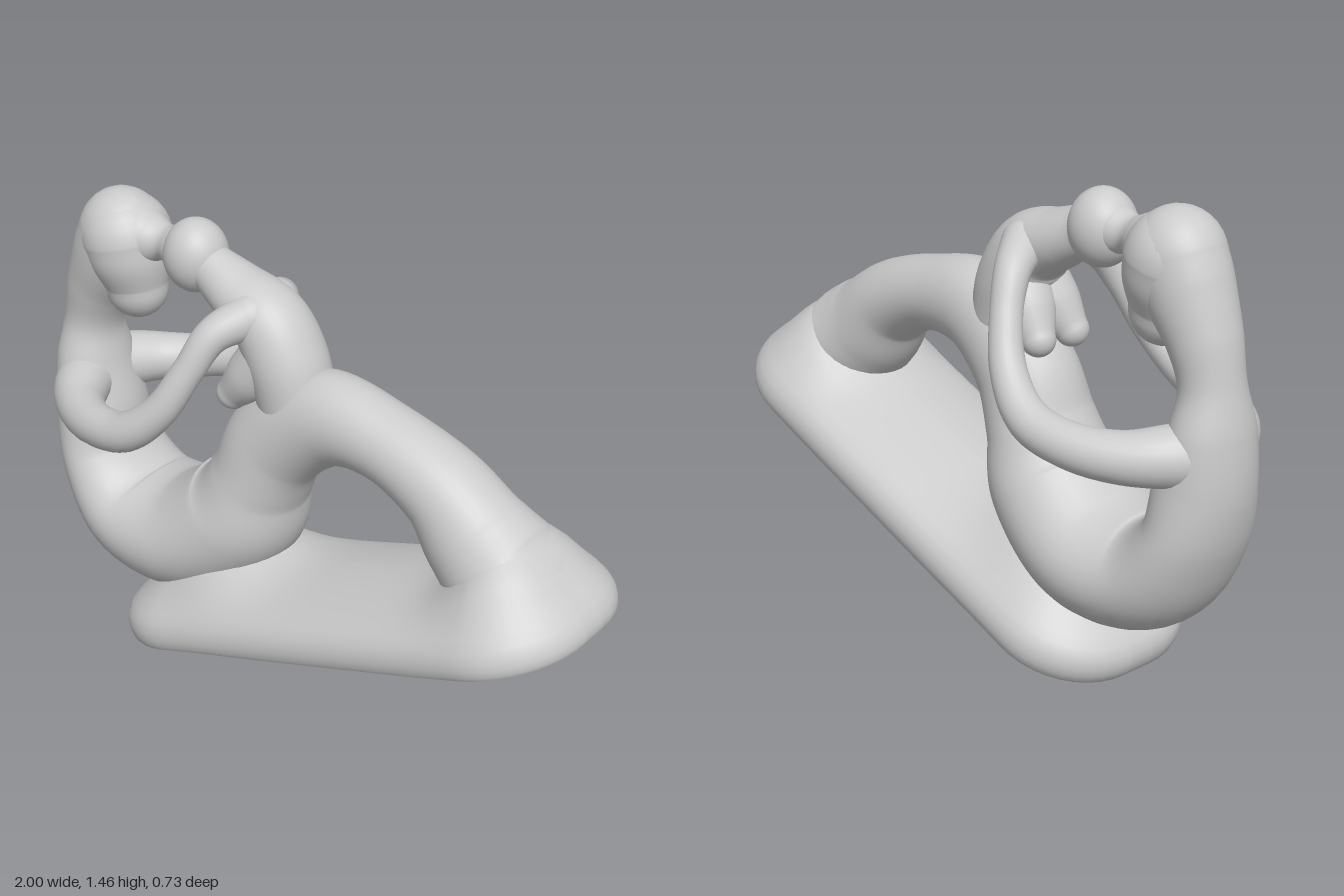
import * as THREE from 'three';

const material = new THREE.MeshStandardMaterial({ color: 0xcccccc });

// Skin a list of closed rings (all with the same number of points)
function skin(rings) {
  const n = rings[0].length, pos = [], idx = [];
  rings.forEach(r => r.forEach(p => pos.push(p.x, p.y, p.z)));
  for (let i = 0; i < rings.length - 1; i++) {
    for (let j = 0; j < n; j++) {
      const a = i * n + j, b = i * n + (j + 1) % n;
      idx.push(a, b, a + n, b, b + n, a + n);
    }
  }
  const g = new THREE.BufferGeometry();
  g.setAttribute('position', new THREE.Float32BufferAttribute(pos, 3));
  g.setIndex(idx);
  g.computeVertexNormals();
  return g;
}

// Limb with round ends; stations are [x, y, z, radius in plane, radius across]
function limb(name, stations, across = new THREE.Vector3(0, 0, 1), steps = 10, sides = 36) {
  const path = new THREE.CatmullRomCurve3(stations.map(s => new THREE.Vector3(s[0], s[1], s[2])));
  const size = new THREE.CatmullRomCurve3(
    stations.map(s => new THREE.Vector3(s[3], s[4] ?? s[3], 0)), false, 'catmullrom', 0.5);
  const rings = [];
  const ring = (u, shift, scale) => {
    const c = path.getPoint(u), t = path.getTangent(u), r = size.getPoint(u);
    const n = new THREE.Vector3().crossVectors(across, t).normalize();
    const b = new THREE.Vector3().crossVectors(t, n);
    c.addScaledVector(t, shift * r.x);
    const out = [];
    for (let j = 0; j < sides; j++) {
      const a = j / sides * Math.PI * 2;
      out.push(c.clone()
        .addScaledVector(n, Math.cos(a) * r.x * scale)
        .addScaledVector(b, Math.sin(a) * r.y * scale));
    }
    rings.push(out);
  };
  const caps = 8, total = (stations.length - 1) * steps;
  for (let k = caps; k > 0; k--) {
    const a = k / caps * Math.PI / 2;
    ring(0, -Math.sin(a), Math.max(Math.cos(a), 0.01));
  }
  for (let i = 0; i <= total; i++) ring(i / total, 0, 1);
  for (let k = 1; k <= caps; k++) {
    const a = k / caps * Math.PI / 2;
    ring(1, Math.sin(a), Math.max(Math.cos(a), 0.01));
  }
  const mesh = new THREE.Mesh(skin(rings), material);
  mesh.name = name;
  return mesh;
}

// Rounded rectangle ring at height y, shrunk by inset, with subdivided straights
function plateRing(inset, y) {
  const hx = 0.865 - inset, hz = 0.32 - inset;
  const r = Math.min(hz, Math.max(0.27 - inset, 0.02));
  const point = (q, k) => {
    const sx = q === 0 || q === 3 ? 1 : -1, sz = q < 2 ? -1 : 1;
    const a = (q + k / 10) * Math.PI / 2;
    return new THREE.Vector3(
      sx * (hx - r) + r * Math.cos(a), y, sz * (hz - r) - r * Math.sin(a));
  };
  const out = [];
  for (let q = 0; q < 4; q++) {
    for (let k = 0; k <= 10; k++) out.push(point(q, k));
    const from = point(q, 10), to = point((q + 1) % 4, 0), cuts = q % 2 ? 8 : 28;
    for (let k = 1; k < cuts; k++) out.push(from.clone().lerp(to, k / cuts));
  }
  return out;
}

// Swelling of the base top where thigh and lower leg flow into it
function swell(x, z) {
  const mound = (cx, sx, sz, h) => h * Math.exp(-(((x - cx) / sx) ** 2) - (z / sz) ** 2);
  return mound(-0.46, 0.19, 0.21, 0.16) + mound(0.66, 0.17, 0.25, 0.17);
}

export function createModel() {
  const group = new THREE.Group();

  // Tilted base: flat underside, rounded rim, domed top
  const rings = [[0.012, 0], [0.003, 0.015], [0, 0.035], [0, 0.06], [0.01, 0.088],
    [0.03, 0.112], [0.06, 0.13], [0.1, 0.146], [0.14, 0.16], [0.18, 0.171], [0.22, 0.18],
    [0.26, 0.186], [0.29, 0.189], [0.32, 0.19]].map(([inset, y]) => {
    const weight = THREE.MathUtils.smoothstep(inset, -0.02, 0.13);
    const ring = plateRing(inset, y);
    ring.forEach(p => { p.y += weight * swell(p.x, p.z); });
    return ring;
  });
  const base = new THREE.Group();
  base.name = 'base';
  const plate = new THREE.Mesh(skin(rings), material);
  plate.name = 'basePlate';
  const sole = new THREE.Mesh(new THREE.ShapeGeometry(
    new THREE.Shape(rings[0].map(p => new THREE.Vector2(p.x, p.z)))), material);
  sole.name = 'baseUnderside';
  sole.geometry.rotateX(Math.PI / 2);
  base.add(plate, sole);
  base.rotation.z = Math.atan2(0.57, 1.63);
  base.position.set(0.19, 0.284, 0);
  group.add(base);

  // Large figure: nape, back, hips, thigh, knee arch and lower leg in one flow
  group.add(limb('motherBody', [
    [-0.738, 1.325, 0, 0.136, 0.13], [-0.782, 1.235, 0, 0.13, 0.125], [-0.845, 1.11, 0, 0.104, 0.108],
    [-0.878, 0.99, 0, 0.09, 0.1],
    [-0.885, 0.87, 0, 0.107, 0.135], [-0.868, 0.7, 0, 0.13, 0.16], [-0.835, 0.53, 0, 0.128, 0.19],
    [-0.7, 0.37, 0, 0.165, 0.225], [-0.48, 0.36, 0, 0.185, 0.245], [-0.27, 0.51, 0, 0.19, 0.215],
    [-0.2, 0.66, 0, 0.155, 0.175], [-0.13, 0.81, 0, 0.158, 0.15], [0.05, 0.945, 0, 0.15, 0.13],
    [0.27, 0.94, 0, 0.118, 0.122], [0.48, 0.855, 0, 0.132, 0.138], [0.595, 0.745, 0, 0.165, 0.16],
    [0.7, 0.67, 0, 0.17, 0.19], [0.82, 0.63, 0, 0.125, 0.2], [0.92, 0.6, 0, 0.055, 0.15],
  ]));
  group.add(limb('motherHead', [
    [-0.722, 1.312, 0, 0.138, 0.142], [-0.705, 1.235, 0, 0.128, 0.13], [-0.69, 1.155, 0, 0.102, 0.095],
  ]));

  // Small figure: head, neck and torso leaning over the knee
  group.add(limb('childBody', [
    [-0.375, 1.3, 0, 0.075, 0.075], [-0.285, 1.257, 0, 0.088, 0.1], [-0.165, 1.195, 0, 0.112, 0.12],
    [-0.1, 1.09, 0, 0.12, 0.128], [-0.065, 0.97, 0, 0.12, 0.12],
  ]));
  const childHead = new THREE.Mesh(new THREE.SphereGeometry(1, 40, 28), material);
  childHead.name = 'childHead';
  childHead.scale.set(0.1, 0.115, 0.1);
  childHead.position.set(-0.445, 1.328, 0);
  group.add(childHead);
  group.add(limb('faceBridge', [
    [-0.65, 1.33, 0, 0.1], [-0.6, 1.333, 0, 0.072], [-0.56, 1.335, 0, 0.055],
    [-0.52, 1.335, 0, 0.068], [-0.47, 1.335, 0, 0.085],
  ]));

  // Arms looping round the child, and the child's legs
  const armPlane = new THREE.Vector3(-0.57, 0.82, 0);
  for (const [side, s] of [['front', 1], ['rear', -1]]) {
    group.add(limb(side + 'Arm', [
      [-0.89, 0.8, 0, 0.095], [-0.835, 0.8, 0.12 * s, 0.088], [-0.755, 0.797, 0.21 * s, 0.075],
      [-0.63, 0.808, 0.278 * s, 0.067],
      [-0.48, 0.845, 0.302 * s, 0.062], [-0.365, 0.945, 0.275 * s, 0.053], [-0.295, 1.08, 0.223 * s, 0.048],
      [-0.25, 1.185, 0.16 * s, 0.054], [-0.19, 1.23, 0.06 * s, 0.07],
    ], armPlane, 8, 24));
    group.add(limb(side + 'ChildLeg', [
      [-0.14, 1.1, 0.03 * s, 0.09], [-0.2, 1.02, 0.05 * s, 0.08], [-0.255, 0.955, 0.065 * s, 0.052],
    ], undefined, 8, 24));
  }
  return group;
}
